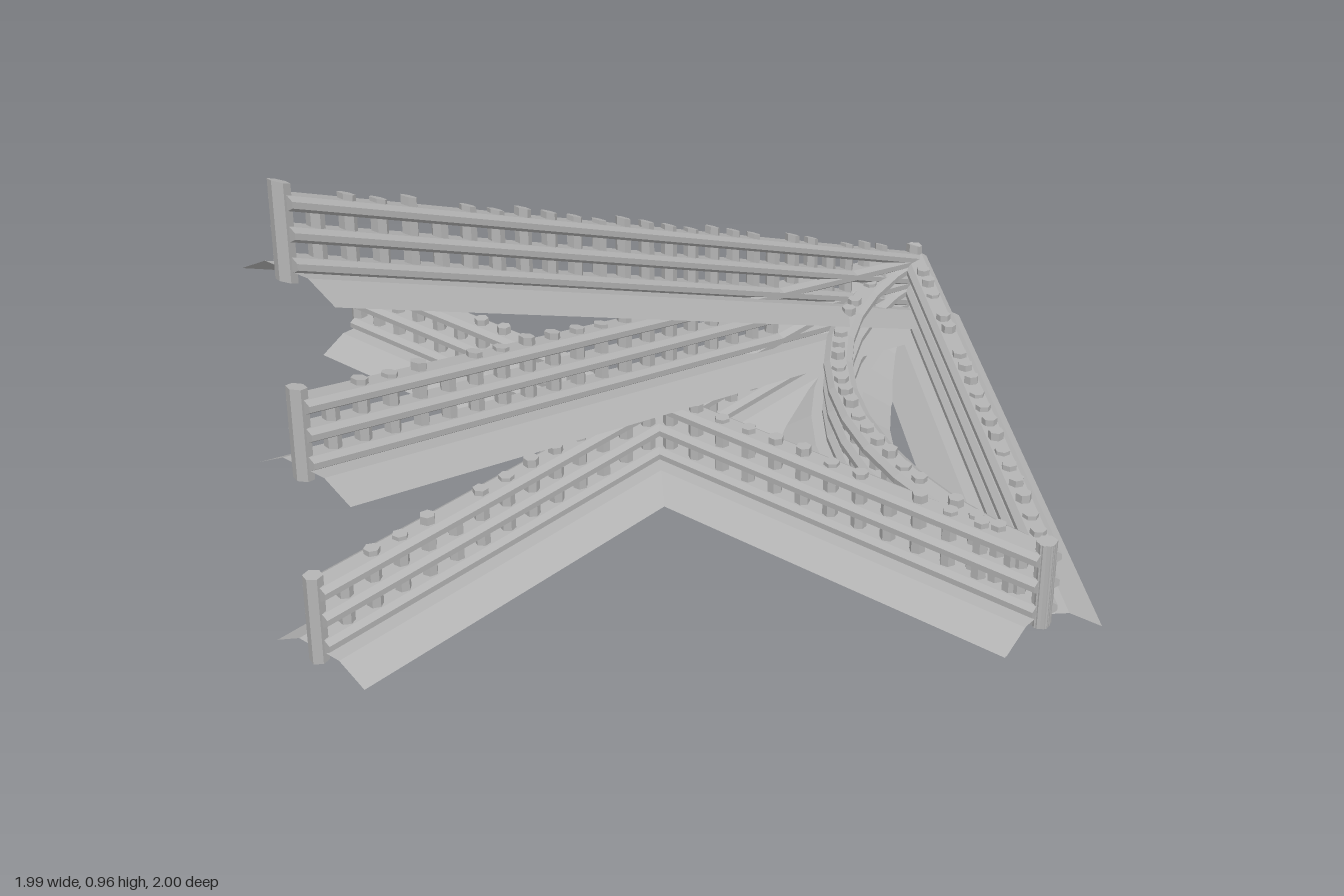
import * as THREE from 'three';
import { mergeGeometries } from 'three/addons/utils/BufferGeometryUtils.js';

const grey = new THREE.MeshStandardMaterial({ color: 0xb4b4b4 });
grey.name = 'weathered grey';
grey.flatShading = true;
grey.side = THREE.DoubleSide;

// Corner points shared by the fence pieces (x, z)
const X0 = -0.033, X1 = 0.912, XL = -0.978, Z0 = -0.923, ZM = 0.027, ZF = 0.973;

// Paths return a ground point and the sideways direction at t in 0..1
function linePath(ax, az, bx, bz) {
  const len = Math.hypot(bx - ax, bz - az);
  return t => ({
    x: ax + (bx - ax) * t, z: az + (bz - az) * t,
    sx: (bz - az) / len, sz: -(bx - ax) / len,
  });
}
function arcPath(cx, cz, r) {
  return t => {
    const a = t * Math.PI / 2, c = Math.cos(a), s = Math.sin(a);
    return { x: cx - r * c, z: cz + r * s, sx: c, sz: -s };
  };
}

// Sweeps a [side, height] section along a path
function sweep(path, section, steps, closed) {
  const pos = [], idx = [], n = section.length;
  for (let i = 0; i <= steps; i++) {
    const f = path(i / steps);
    for (const [s, y] of section) pos.push(f.x + f.sx * s, y, f.z + f.sz * s);
  }
  const edges = closed ? n : n - 1;
  for (let i = 0; i < steps; i++) {
    for (let j = 0; j < edges; j++) {
      const a = i * n + j, b = i * n + (j + 1) % n;
      idx.push(a, a + n, b, b, a + n, b + n);
    }
  }
  if (closed) {
    const e = steps * n;
    for (let j = 1; j < n - 1; j++) idx.push(0, j, j + 1, e, e + j + 1, e + j);
  }
  const g = new THREE.BufferGeometry();
  g.setAttribute('position', new THREE.Float32BufferAttribute(pos, 3));
  g.setIndex(idx);
  const flat = g.toNonIndexed();
  flat.computeVertexNormals();
  return flat;
}

// Chamfered rail section centred at height y, counter to the path direction
function railSection(y) {
  return [[-0.031, -0.006], [-0.018, -0.014], [0.018, -0.014], [0.031, -0.006],
    [0.031, 0.006], [0.018, 0.014], [-0.018, 0.014], [-0.031, 0.006]]
    .map(([s, h]) => [s, y + h]).reverse();
}
const bankSection = [[-0.12, 0], [-0.055, 0.033], [0.055, 0.033], [0.12, 0]];
const shortPosts = [1, 5, 8, 22, 26];

function fence(name, path, steps = 1, gaps = 27, slope = 0) {
  const group = new THREE.Group();
  group.name = name;
  // Sloped pieces are sheared so that the posts stay upright
  const shear = new THREE.Matrix4().set(
    1, 0, 0, 0,
    0, 1, slope, -slope * Z0,
    0, 0, 1, 0,
    0, 0, 0, 1);
  const add = (part, geometry) => {
    geometry.applyMatrix4(shear);
    const mesh = new THREE.Mesh(geometry, grey);
    mesh.name = part;
    group.add(mesh);
  };

  // Ground bank with sloping sides
  add('groundBank', sweep(path, bankSection, steps, false));

  // Three horizontal rails
  [['lowerRail', 0.046], ['middleRail', 0.102], ['topRail', 0.158]]
    .forEach(([part, y]) => add(part, sweep(path, railSection(y), steps, true)));

  // Six-sided posts of uneven height
  const posts = [];
  for (let i = 0; i <= gaps; i++) {
    const f = path(i / gaps), end = i === 0 || i === gaps;
    const top = end ? 0.193 : shortPosts.includes(i) ? 0.168 : 0.18 + 0.003 * ((i * 5) % 4);
    const r = end ? 0.019 : 0.016, bottom = 0.012;
    const post = new THREE.CylinderGeometry(r, r, top - bottom, 6);
    post.rotateY(i * 0.9);
    post.translate(f.x, (top + bottom) / 2, f.z);
    posts.push(post);
  }
  add('posts', mergeGeometries(posts));
  return group;
}

export function createModel() {
  const model = new THREE.Group();
  model.name = 'fenceSet';
  const along = linePath(X0, Z0, X0, ZF);
  model.add(
    fence('crossFence', linePath(XL, ZM, X1, ZM)),
    fence('levelFence', along),
    fence('gentleSlopeFence', along, 1, 27, 0.201),
    fence('steepSlopeFence', along, 1, 27, 0.402),
    fence('diagonalFence', linePath(X0, Z0, X1, ZM), 1, 22),
    fence('curvedFence', arcPath(X1, Z0, X1 - X0), 12, 27),
  );
  return model;
}
